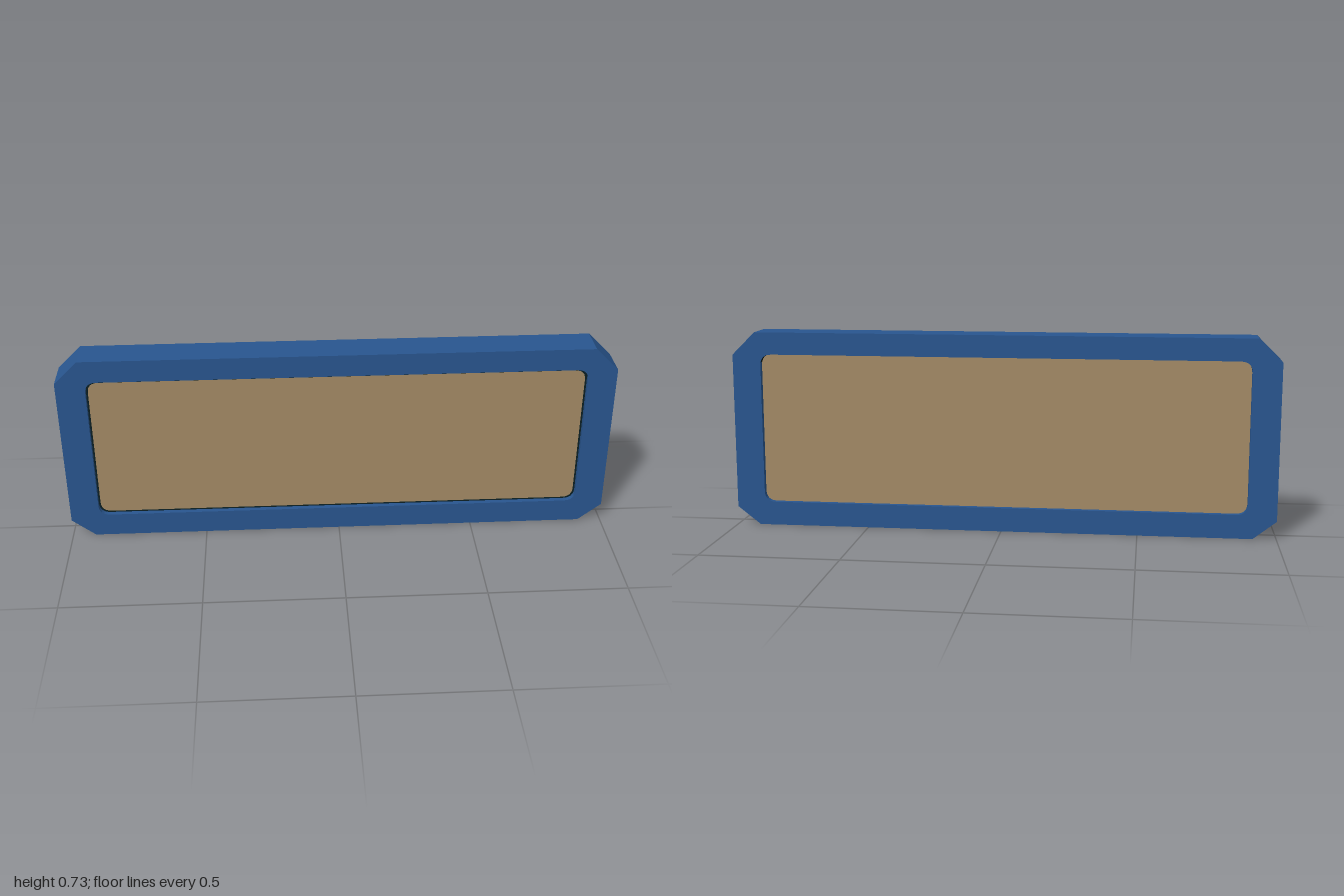
import * as THREE from 'three';

const HEIGHT = 0.727, DEPTH = 0.127, PANEL_DEPTH = 0.087;

// Traces a rounded rectangle into a Shape or Path
function roundedRect(path, x, y0, y1, r) {
  path.moveTo(-x + r, y0);
  path.lineTo(x - r, y0);
  path.quadraticCurveTo(x, y0, x, y0 + r);
  path.lineTo(x, y1 - r);
  path.quadraticCurveTo(x, y1, x - r, y1);
  path.lineTo(-x + r, y1);
  path.quadraticCurveTo(-x, y1, -x, y1 - r);
  path.lineTo(-x, y0 + r);
  path.quadraticCurveTo(-x, y0, -x + r, y0);
  return path;
}

const opening = (path) => roundedRect(path, 0.895, 0.088, 0.645, 0.042);

// Extrudes a shape, centred on z = 0
function slab(name, shape, depth, material) {
  const geometry = new THREE.ExtrudeGeometry(shape, { depth, bevelEnabled: false, curveSegments: 6 });
  geometry.translate(0, 0, -depth / 2);
  const mesh = new THREE.Mesh(geometry, material);
  mesh.name = name;
  return mesh;
}

// Gives downward faces the second material, all others the first
function splitUndersides(geometry) {
  const normal = geometry.attributes.normal;
  geometry.clearGroups();
  for (let i = 0; i < normal.count; i += 3) {
    geometry.addGroup(i, 3, normal.getY(i) < -0.3 ? 1 : 0);
  }
}

export function createModel() {
  const frameBlue = new THREE.MeshStandardMaterial({ name: 'frame blue', color: 0x29568f });
  const panelTan = new THREE.MeshStandardMaterial({ name: 'panel tan', color: 0xa48b66 });
  const darkTeal = new THREE.MeshStandardMaterial({ name: 'dark teal', color: 0x0b2024 });
  const group = new THREE.Group();
  group.name = 'framedPanel';

  // Frame with chamfered corners, a rounded opening and dark undersides
  const outline = new THREE.Shape([
    [-0.915, 0], [0.915, 0], [1, 0.067], [1, 0.643],
    [0.915, HEIGHT], [-0.915, HEIGHT], [-1, 0.643], [-1, 0.067],
  ].map(([x, y]) => new THREE.Vector2(x, y)));
  outline.holes.push(opening(new THREE.Path()));
  const frame = slab('frame', outline, DEPTH, [frameBlue, darkTeal]);
  splitUndersides(frame.geometry);
  group.add(frame);

  // Panel set slightly back from both faces of the frame
  group.add(slab('panel', opening(new THREE.Shape()), PANEL_DEPTH, panelTan));

  // Thin dark seam around the front of the panel, widest along the top
  const seamShape = opening(new THREE.Shape());
  seamShape.holes.push(roundedRect(new THREE.Path(), 0.889, 0.092, 0.635, 0.04));
  const seam = slab('panelSeam', seamShape, 0.004, darkTeal);
  seam.position.z = PANEL_DEPTH / 2;
  group.add(seam);

  return group;
}
